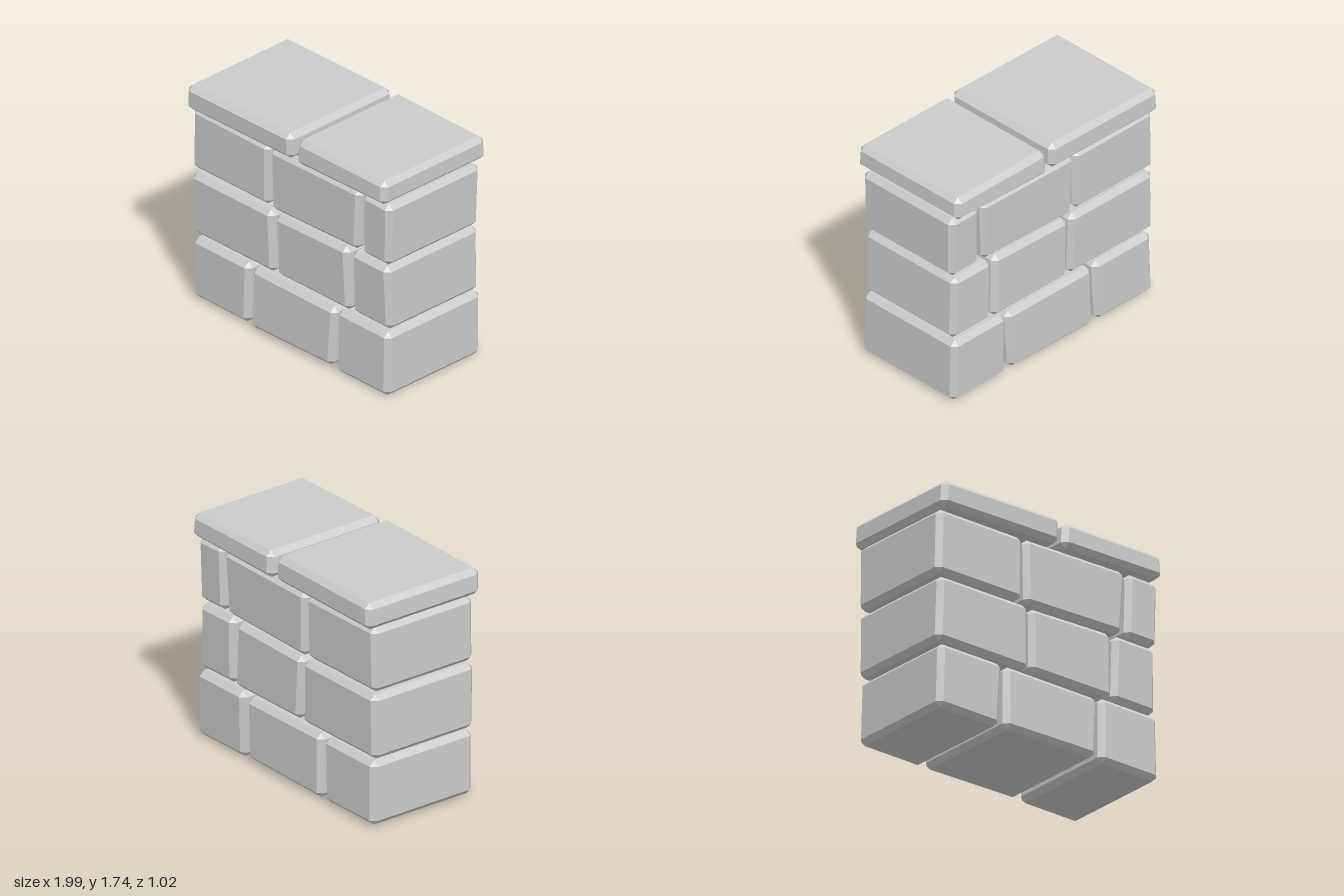
import * as THREE from 'three';
import { ConvexGeometry } from 'three/addons/geometries/ConvexGeometry.js';

const material = new THREE.MeshStandardMaterial({ color: 0xcccccc, flatShading: true });

// How far a leaning side is cut back at t (0..1); the sign picks the end that moves in
const inset = (k, t) => (k > 0 ? k * t : -k * (1 - t));

// Chamfered block with slightly leaning sides.
// lean: left and right sides (per height), bottom and top (per width), front and back (per height)
function stone(name, [x0, x1], [y0, y1], [z0, z1], lean, c = 0.04) {
  const [l, r, b, t, f, k] = lean;
  const size = [x1 - x0, y1 - y0, z1 - z0];
  const points = [];
  for (const sx of [0, 1]) for (const sy of [0, 1]) for (const sz of [0, 1]) {
    // three points per corner, one for each face that meets there
    for (let face = 0; face < 3; face++) {
      const [u, v, w] = [sx, sy, sz].map((s, i) => {
        const d = i === face ? 0 : c / size[i];
        return s ? 1 - d : d;
      });
      const left = x0 + inset(l, v), right = x1 - inset(-r, v);
      const bottom = y0 + inset(b, u), top = y1 - inset(-t, u);
      const back = z0 + inset(k, v), front = z1 - inset(-f, v);
      points.push(new THREE.Vector3(
        left + (right - left) * u,
        bottom + (top - bottom) * v,
        back + (front - back) * w));
    }
  }
  const mesh = new THREE.Mesh(new ConvexGeometry(points), material);
  mesh.name = name;
  return mesh;
}

export function createModel() {
  const wall = new THREE.Group();
  wall.name = 'stoneWall';

  // Courses from the ground up: each stone has x range, y range, z range, leans
  const courses = [
    ['lowerCourse', [
      [[-0.99, -0.41], [0.01, 0.505], [-0.46, 0.45], [0.01, 0.025, -0.005, -0.005, 0.01, 0.01]],
      [[-0.4, 0.45], [0.01, 0.5], [-0.465, 0.46], [0.01, 0.025, 0.01, -0.01, -0.01, 0.01]],
      [[0.46, 0.99], [0, 0.51], [-0.47, 0.46], [0.005, -0.005, -0.005, -0.005, -0.01, -0.01]],
    ]],
    ['middleCourse', [
      [[-1, -0.17], [0.52, 1.02], [-0.455, 0.455], [0.01, -0.01, -0.005, -0.005, 0.015, -0.005]],
      [[-0.165, 0.585], [0.52, 1.025], [-0.455, 0.45], [-0.015, -0.015, -0.005, 0.015, 0.01, 0.005]],
      [[0.595, 0.985], [0.52, 1.03], [-0.455, 0.445], [0.005, -0.015, -0.005, -0.005, 0.015, -0.005]],
    ]],
    ['upperCourse', [
      [[-1, -0.22], [1.04, 1.54], [-0.455, 0.445], [0.01, 0.005, -0.005, -0.01, 0.005, -0.005]],
      [[-0.215, 0.7], [1.03, 1.535], [-0.46, 0.45], [-0.015, 0.03, 0.015, 0.005, 0.005, -0.01]],
      [[0.705, 0.995], [1.04, 1.54], [-0.455, 0.45], [0.01, 0.01, -0.005, -0.01, 0.005, -0.01]],
    ]],
    ['capCourse', [
      [[-1, 0.065], [1.54, 1.745], [-0.505, 0.505], [0.01, -0.005, 0.005, 0.005, 0.005, 0.005]],
      [[0.095, 0.995], [1.54, 1.74], [-0.515, 0.5], [0.015, -0.005, 0.01, -0.01, -0.01, 0.01]],
    ]],
  ];

  for (const [name, stones] of courses) {
    const course = new THREE.Group();
    course.name = name;
    const part = name === 'capCourse' ? 'capStone' : 'wallStone';
    stones.forEach((s, i) => course.add(stone(`${part}${i + 1}`, ...s)));
    wall.add(course);
  }
  return wall;
}
